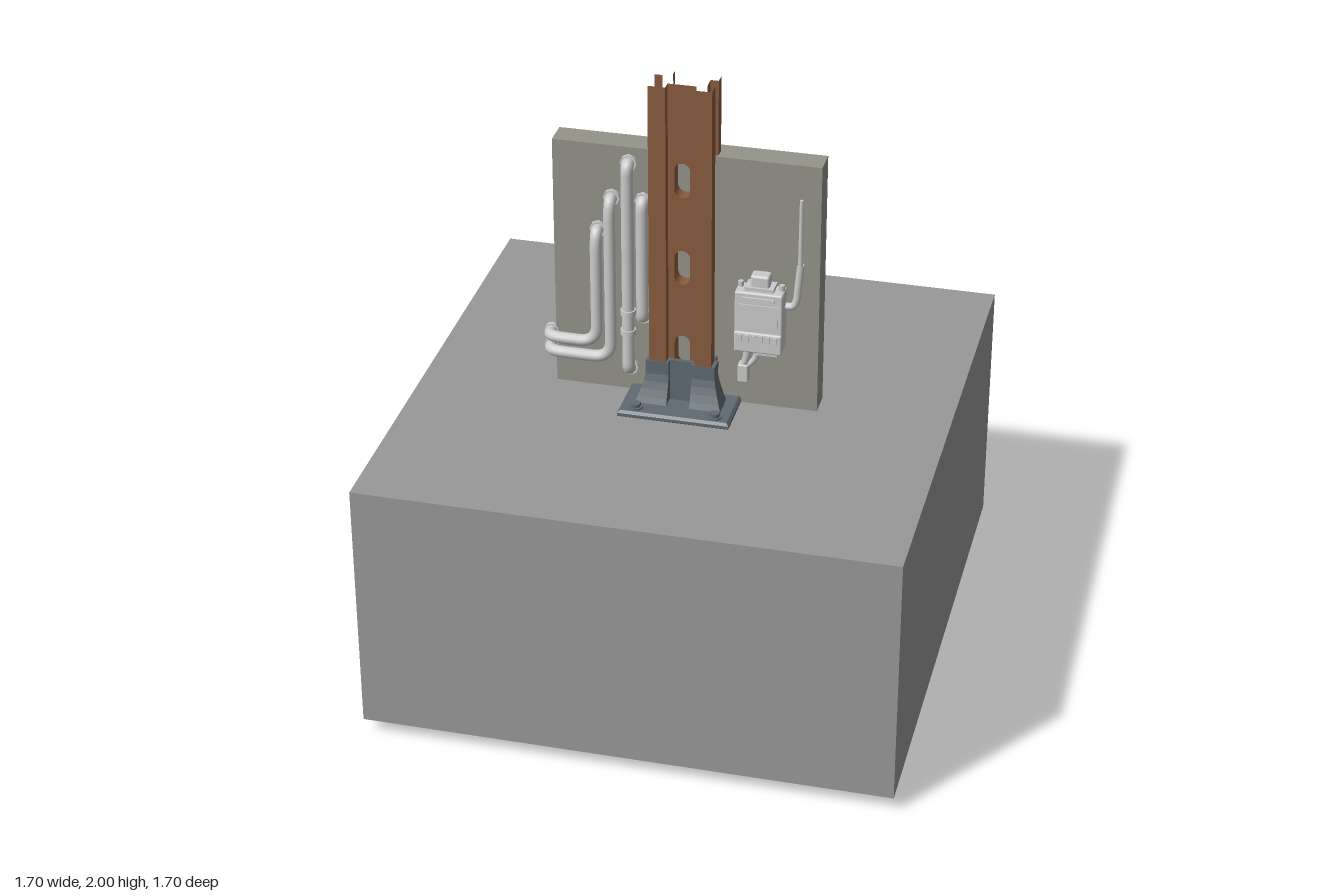
import * as THREE from 'three';
import { RoundedBoxGeometry } from 'three/addons/geometries/RoundedBoxGeometry.js';

const mat = (color, opts = {}) => new THREE.MeshStandardMaterial({ color, ...opts });
const V = (x, y, z) => new THREE.Vector3(x, y, z);

// Half of the post's section, from the web's front corner round to its back corner (x, z)
const HALF = [[0.045, 0.09], [0.045, 0.12], [0.1, 0.12], [0.1, 0.077], [0.075, 0.077],
  [0.075, 0.035], [0.1, 0.035], [0.1, 0], [0.045, 0], [0.045, 0.02]];
const OTHER_HALF = HALF.map(([x, z]) => [-x, z]).reverse();

function add(group, name, geometry, material, x = 0, y = 0, z = 0) {
  const mesh = new THREE.Mesh(geometry, material);
  mesh.name = name;
  mesh.position.set(x, y, z);
  group.add(mesh);
  return mesh;
}

// Box given by its limits on each axis
function box(group, name, material, x0, x1, y0, y1, z0, z1) {
  return add(group, name, new THREE.BoxGeometry(x1 - x0, y1 - y0, z1 - z0), material,
    (x0 + x1) / 2, (y0 + y1) / 2, (z0 + z1) / 2);
}

// Upright walls along a path in plan
function walls(path, y0, y1) {
  const p = [];
  for (let i = 0; i < path.length - 1; i++) {
    const [ax, az] = path[i], [bx, bz] = path[i + 1];
    p.push(ax, y0, az, bx, y0, bz, bx, y1, bz, ax, y0, az, bx, y1, bz, ax, y1, az);
  }
  const g = new THREE.BufferGeometry();
  g.setAttribute('position', new THREE.Float32BufferAttribute(p, 3));
  g.computeVertexNormals();
  return g;
}

// Slotted web of the post, without the faces at its rim
function webGeometry() {
  const shape = new THREE.Shape([[-0.045, 0], [0.045, 0], [0.045, 2], [-0.045, 2]].map(a => new THREE.Vector2(...a)));
  const r = 0.025;
  for (let y = 0.48; y < 1.8; y += 0.3) {
    if (y < 1) continue;
    const hole = new THREE.Path();
    hole.absarc(0, y + 0.03 + 0.002, r, 0, Math.PI, false);
    hole.absarc(0, y - 0.035, r, Math.PI, 2 * Math.PI, false);
    hole.closePath();
    shape.holes.push(hole);
  }
  const g = new THREE.ExtrudeGeometry(shape, { depth: 0.07, bevelEnabled: false, curveSegments: 10 });
  g.translate(0, 0, 0.02);
  const p = g.attributes.position, kept = [];
  for (let i = 0; i < p.count; i += 3) {
    const same = (get, v) => [0, 1, 2].every(k => Math.abs(get(i + k) - v) < 1e-5);
    const x = k => p.getX(k), y = k => p.getY(k);
    if (same(x, 0.045) || same(x, -0.045) || same(y, 0) || same(y, 2)) continue;
    for (let k = 0; k < 3; k++) kept.push(p.getX(i + k), p.getY(i + k), p.getZ(i + k));
  }
  const out = new THREE.BufferGeometry();
  out.setAttribute('position', new THREE.Float32BufferAttribute(kept, 3));
  out.computeVertexNormals();
  return out;
}

// Round pipe through points with filleted corners
function pipeGeometry(points, radius, bend) {
  const path = new THREE.CurvePath();
  let from = points[0];
  for (let i = 1; i < points.length - 1; i++) {
    const c = points[i];
    const cut = q => {
      const d = q.clone().sub(c);
      return c.clone().addScaledVector(d.clone().normalize(), Math.min(bend, d.length() * 0.49));
    };
    const a = cut(points[i - 1]), b = cut(points[i + 1]);
    path.add(new THREE.LineCurve3(from, a));
    path.add(new THREE.QuadraticBezierCurve3(a, c, b));
    from = b;
  }
  path.add(new THREE.LineCurve3(from, points[points.length - 1]));
  return new THREE.TubeGeometry(path, 120, radius, 12, false);
}

export function createModel() {
  const model = new THREE.Group();
  const concrete = mat(0x999999), panelMat = mat(0x95948a), rust = mat(0x8a5c3e);
  const steel = mat(0x606a72), grey = mat(0xcccccc), greyThin = mat(0xcccccc, { side: THREE.DoubleSide });

  // Ground block with an opening for the post
  const plan = new THREE.Shape([[-0.85, -0.85], [0.85, -0.85], [0.85, 0.85], [-0.85, 0.85]].map(a => new THREE.Vector2(...a)));
  plan.holes.push(new THREE.Path([...HALF, ...OTHER_HALF].map(([x, z]) => new THREE.Vector2(x, -z))));
  const block = new THREE.ExtrudeGeometry(plan, { depth: 0.845, bevelEnabled: false });
  block.rotateX(-Math.PI / 2);
  add(model, 'groundBlock', block, concrete, 0, 0.05, 0);

  // Wall panel
  box(model, 'wallPanel', panelMat, -0.425, 0.425, 0.052, 1.75, -0.043, 0.043);

  // Post: two grooved sides and a slotted web, open at the ends
  const post = new THREE.Group();
  post.name = 'post';
  model.add(post);
  add(post, 'postSideLeft', walls(HALF, 0, 2), rust);
  add(post, 'postSideRight', walls(OTHER_HALF, 0, 2), rust);
  add(post, 'postWeb', webGeometry(), rust);

  // Base bracket: chamfered plate, four flared legs, infills and bolts
  const bracket = new THREE.Group();
  bracket.name = 'baseBracket';
  bracket.position.z = 0.052;
  model.add(bracket);
  const rect = (w, h, C) => new C([[-w, -h], [w, -h], [w, h], [-w, h]].map(a => new THREE.Vector2(...a)));
  const plateShape = rect(0.172, 0.162, THREE.Shape);
  plateShape.holes.push(rect(0.08, 0.06, THREE.Path));
  const plate = new THREE.ExtrudeGeometry(plateShape, { depth: 0.01, bevelThickness: 0.008, bevelSize: 0.008, bevelSegments: 1 });
  plate.rotateX(-Math.PI / 2);
  add(bracket, 'basePlate', plate, steel, 0, 0.897, 0);
  for (const sx of [-1, 1]) {
    for (const sz of [-1, 1]) {
      const leg = new THREE.BoxGeometry(2, 2, 2, 1, 6, 1).toNonIndexed();
      const p = leg.attributes.position;
      for (let i = 0; i < p.count; i++) {
        const t = (1 - p.getY(i)) / 2;
        const flare = Math.max(0, (t - 0.33) / 0.67) ** 1.3;
        const x = p.getX(i) * sx > 0 ? 0.112 + 0.028 * flare : 0.037;
        const z = p.getZ(i) * sz > 0 ? 0.07 + 0.038 * flare : 0.022;
        p.setXYZ(i, sx * x, 1.053 - 0.143 * t, sz * z);
      }
      leg.computeVertexNormals();
      add(bracket, 'bracketLeg', leg, steel);
      add(bracket, 'boltWasher', new THREE.CylinderGeometry(0.023, 0.023, 0.006, 16), steel, sx * 0.128, 0.917, sz * 0.135);
      add(bracket, 'boltHead', new THREE.CylinderGeometry(0.017, 0.017, 0.014, 6), steel, sx * 0.128, 0.924, sz * 0.135);
    }
    box(bracket, 'bracketSideInfill', steel, sx * 0.09 - 0.012, sx * 0.09 + 0.012, 0.91, 1.053, -0.03, 0.03);
    box(bracket, 'bracketFaceInfill', steel, -0.04, 0.04, 0.91, 1.053, sx * 0.046 - 0.006, sx * 0.046 + 0.006);
  }

  // Pipes on the right of the panel, with a collar where each enters it
  const pipes = new THREE.Group();
  pipes.name = 'pipes';
  model.add(pipes);
  const collar = (x, y) => {
    const c = add(pipes, 'pipeCollar', new THREE.CylinderGeometry(0.027, 0.027, 0.014, 8), grey, x, y, 0.048);
    c.rotation.x = Math.PI / 2;
  };
  for (const [x, top, bottom, z] of [[-0.18, 1.7, 0.98, 0.072], [-0.135, 1.575, 1.17, 0.066]]) {
    add(pipes, 'straightPipe', pipeGeometry([V(x, top, 0.035), V(x, top, z), V(x, bottom, z), V(x, bottom, 0.035)], 0.02, 0.03), greyThin);
    collar(x, top);
    collar(x, bottom);
  }
  for (const [x, top, low] of [[-0.235, 1.575, 1.022], [-0.28, 1.46, 1.073]]) {
    add(pipes, 'bentPipe', pipeGeometry([V(x, top, 0.035), V(x, top, 0.082), V(x, low, 0.082),
      V(-0.44, low, 0.082), V(-0.44, low, 0.035)], 0.019, 0.06), greyThin);
    collar(x, top);
    const end = add(pipes, 'pipeEnd', new THREE.CylinderGeometry(0.024, 0.024, 0.014, 12), grey, -0.44, low, 0.038);
    end.rotation.x = Math.PI / 2;
  }
  for (const y of [1.12, 1.19]) add(pipes, 'pipeClip', new THREE.CylinderGeometry(0.025, 0.025, 0.018, 12), grey, -0.18, y, 0.072);

  // Control box
  const unit = new THREE.Group();
  unit.name = 'controlBox';
  model.add(unit);
  add(unit, 'boxBody', new RoundedBoxGeometry(0.152, 0.15, 0.07, 2, 0.006), grey, 0.247, 1.255, 0.078);
  add(unit, 'boxLowerBody', new RoundedBoxGeometry(0.152, 0.07, 0.078, 2, 0.006), grey, 0.247, 1.158, 0.082);
  box(unit, 'boxFoot', grey, 0.23, 0.305, 1.103, 1.125, 0.045, 0.095);
  box(unit, 'boxCover', grey, 0.185, 0.31, 1.215, 1.29, 0.11, 0.117);
  box(unit, 'labelRail', grey, 0.195, 0.298, 1.302, 1.316, 0.11, 0.12);
  for (let i = 0; i < 6; i++) {
    const x = 0.19 + i * 0.0225;
    box(unit, 'terminal', grey, x - 0.007, x + 0.007, 1.163, 1.187, 0.12, 0.127);
  }
  for (const x of [0.182, 0.312]) {
    add(unit, 'boxScrew', new THREE.CylinderGeometry(0.009, 0.009, 0.02, 8), grey, x, 1.337, 0.07);
  }
  add(unit, 'topConnector', new RoundedBoxGeometry(0.06, 0.055, 0.045, 2, 0.008), grey, 0.246, 1.352, 0.07);
  box(unit, 'connectorBase', grey, 0.2, 0.292, 1.326, 1.342, 0.045, 0.1);

  // Cables: aerial on the side, two leads with a plug below
  add(unit, 'sideCable', pipeGeometry([V(0.315, 1.27, 0.06), V(0.355, 1.27, 0.06), V(0.368, 1.42, 0.06)], 0.012, 0.04), greyThin);
  add(unit, 'aerial', new THREE.CylinderGeometry(0.006, 0.008, 0.24, 8), grey, 0.366, 1.52, 0.057);
  add(unit, 'longLead', pipeGeometry([V(0.2, 1.13, 0.07), V(0.205, 1.085, 0.07), V(0.19, 1.04, 0.065)], 0.012, 0.03), greyThin);
  add(unit, 'shortLead', pipeGeometry([V(0.235, 1.13, 0.07), V(0.235, 1.08, 0.07), V(0.205, 1.045, 0.065)], 0.01, 0.03), greyThin);
  add(unit, 'plug', new RoundedBoxGeometry(0.034, 0.065, 0.036, 2, 0.006), grey, 0.192, 1.02, 0.063);
  return model;
}
